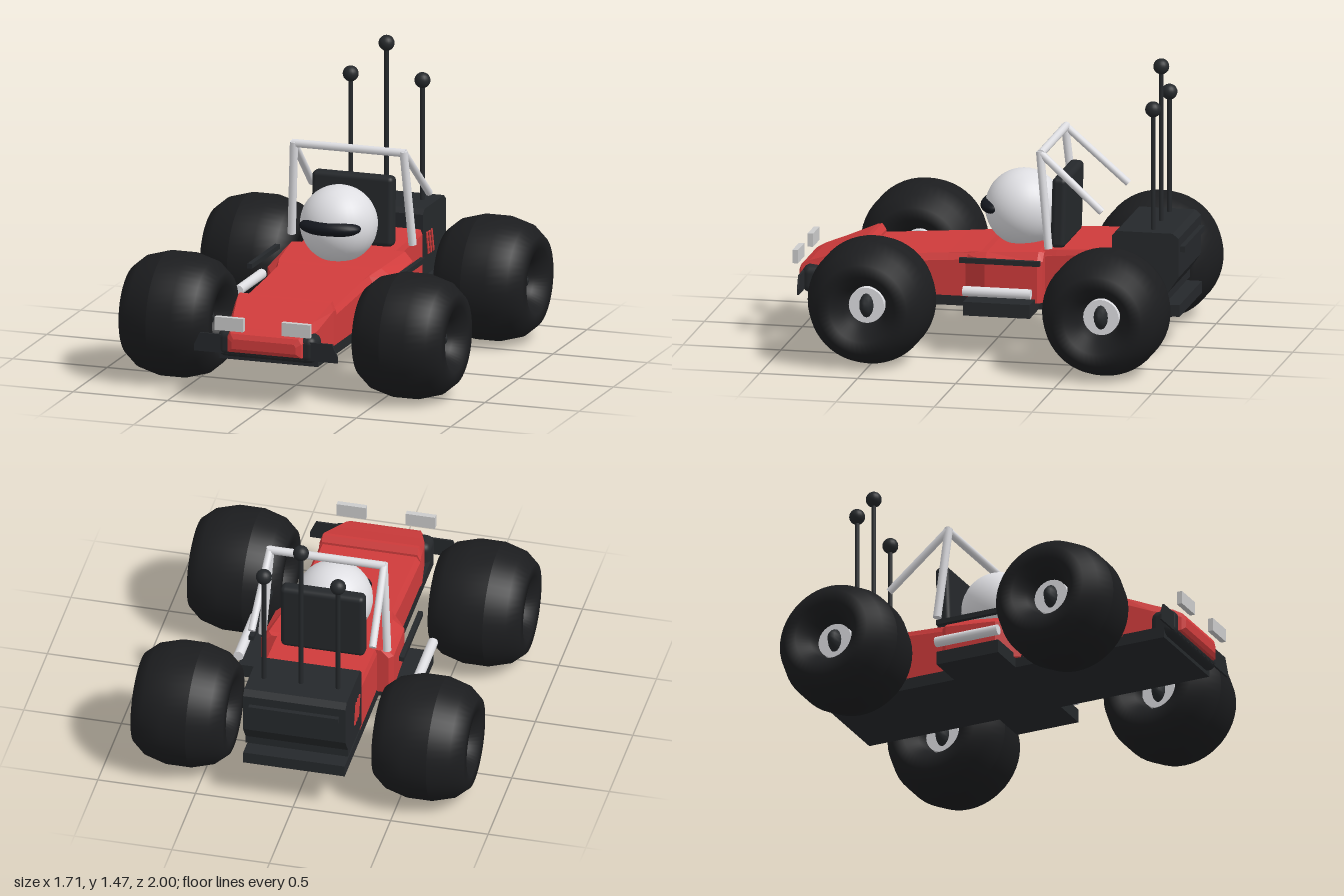
import * as THREE from 'three';
import { RoundedBoxGeometry } from 'three/addons/geometries/RoundedBoxGeometry.js';

const mat = (color, flatShading = false) =>
  new THREE.MeshStandardMaterial({ color, flatShading, side: THREE.DoubleSide });
const red = mat(0xd03c3c, true), dark = mat(0x25282b), darkFlat = mat(0x25282b, true);
const rubber = mat(0x1c1d1f), white = mat(0xdedee2), grey = mat(0xcccccc), visorMat = mat(0x14171e);

// Body sections from front to back: [z, half width, bottom, shoulder, top half width, top]
function loft(sections) {
  const pos = [], idx = [], n = 6;
  for (const [z, w, y0, ys, wt, yt] of sections)
    for (const [x, y] of [[w, y0], [w, ys], [wt, yt], [-wt, yt], [-w, ys], [-w, y0]]) pos.push(x, y, z);
  for (let i = 0; i < sections.length - 1; i++)
    for (let j = 0; j < n; j++) {
      const a = i * n + j, b = i * n + (j + 1) % n;
      idx.push(a, a + n, b, b, a + n, b + n);
    }
  const last = (sections.length - 1) * n;
  for (let j = 1; j < n - 1; j++) idx.push(0, j, j + 1, last, last + j + 1, last + j);
  const g = new THREE.BufferGeometry();
  g.setAttribute('position', new THREE.Float32BufferAttribute(pos, 3));
  g.setIndex(idx);
  g.computeVertexNormals();
  return g;
}

// Extrudes a [z, y] outline across x, centred
function sideProfile(points, width) {
  const shape = new THREE.Shape(points.map(([z, y]) => new THREE.Vector2(-z, y)));
  return new THREE.ExtrudeGeometry(shape, { depth: width, bevelEnabled: false })
    .translate(0, 0, -width / 2).rotateY(Math.PI / 2);
}

export function createModel() {
  const car = new THREE.Group();
  car.name = 'buggy';
  const add = (name, geo, material, x = 0, y = 0, z = 0, parent = car) => {
    const m = new THREE.Mesh(geo, material);
    m.name = name;
    m.position.set(x, y, z);
    parent.add(m);
    return m;
  };
  const box = (name, material, w, h, d, x, y, z) => add(name, new THREE.BoxGeometry(w, h, d), material, x, y, z);
  const rod = (name, material, a, b, r) => {
    const p = new THREE.Vector3(...a), q = new THREE.Vector3(...b), dir = q.clone().sub(p);
    const m = add(name, new THREE.CylinderGeometry(r, r, dir.length(), 12), material);
    m.position.copy(p).add(q).multiplyScalar(0.5);
    m.quaternion.setFromUnitVectors(new THREE.Vector3(0, 1, 0), dir.normalize());
  };

  // Red bodywork
  add('body', loft([
    [0.66, 0.26, 0.27, 0.42, 0.24, 0.45],
    [0.2, 0.26, 0.27, 0.45, 0.24, 0.485],
    [-0.35, 0.26, 0.27, 0.5, 0.25, 0.53],
    [-0.65, 0.26, 0.27, 0.52, 0.25, 0.545]]), red);
  add('nose', loft([
    [0.978, 0.17, 0.295, 0.33, 0.16, 0.345],
    [0.965, 0.195, 0.275, 0.345, 0.18, 0.37],
    [0.92, 0.21, 0.27, 0.36, 0.19, 0.395],
    [0.82, 0.235, 0.27, 0.39, 0.215, 0.43],
    [0.67, 0.26, 0.27, 0.45, 0.245, 0.49],
    [0.645, 0.26, 0.27, 0.45, 0.245, 0.495],
    [0.625, 0.26, 0.27, 0.43, 0.245, 0.465]]), red);
  add('sidePods', loft([
    [0.11, 0.265, 0.27, 0.44, 0.24, 0.485],
    [0.0, 0.33, 0.27, 0.46, 0.27, 0.505],
    [-0.27, 0.34, 0.27, 0.48, 0.3, 0.525],
    [-0.295, 0.32, 0.27, 0.48, 0.28, 0.52]]), red);

  // Dark floor and front bumper
  box('floor', dark, 0.52, 0.06, 1.88, 0, 0.25, -0.04);
  box('sideFloor', dark, 0.92, 0.07, 0.34, 0, 0.255, -0.09);
  add('frontBumper', new RoundedBoxGeometry(0.52, 0.14, 0.13, 3, 0.04), dark, 0, 0.31, 0.885);
  const wing = new THREE.Shape([[-0.38, 0.26], [0.38, 0.26], [0.38, 0.29], [0.35, 0.355], [-0.35, 0.355], [-0.38, 0.29]]
    .map(p => new THREE.Vector2(...p)));
  add('frontWing', new THREE.ExtrudeGeometry(wing, { depth: 0.01, bevelEnabled: false }), dark, 0, 0, 0.935);

  // Engine box with rear bar
  add('engineBox', sideProfile([[-0.635, 0.3], [-0.635, 0.62], [-0.66, 0.645], [-0.945, 0.645], [-0.975, 0.62],
    [-0.975, 0.42], [-0.92, 0.34], [-0.92, 0.3]], 0.525), darkFlat);
  box('rearBar', dark, 0.46, 0.03, 0.03, 0, 0.56, -0.985);

  // Aerials
  for (const [x, top] of [[-0.19, 1.26], [0, 1.435], [0.19, 1.26]]) {
    rod('aerial', dark, [x, 0.63, -0.83], [x, top, -0.83], 0.012);
    add('aerialBall', new THREE.SphereGeometry(0.04, 20, 14), dark, x, top, -0.83);
  }

  // Seat and driver
  const seat = add('seat', new RoundedBoxGeometry(0.43, 0.36, 0.075, 3, 0.025), dark, 0, 0.705, -0.35);
  seat.rotation.x = -0.03;
  add('helmet', new THREE.SphereGeometry(0.195, 32, 24), white, 0, 0.68, -0.13);
  add('visor', new THREE.SphereGeometry(1, 28, 16), visorMat, 0, 0.693, 0).scale.set(0.162, 0.048, 0.085);

  // Roll cage
  rod('rollBarTop', white, [-0.3, 1.03, -0.28], [0.3, 1.03, -0.28], 0.021);
  for (const s of [1, -1]) {
    rod('rollBarPost', white, [s * 0.32, 0.55, -0.325], [s * 0.29, 1.04, -0.275], 0.021);
    rod('rollBarStrut', white, [s * 0.292, 1.03, -0.28], [s * 0.31, 0.75, -0.595], 0.019);

    // Side rails, exhaust pipes, grille slats and lamps
    box('sideRail', dark, 0.025, 0.025, 0.41, s * 0.385, 0.485, -0.09);
    rod('sidePipe', white, [s * 0.457, 0.345, -0.265], [s * 0.457, 0.345, 0.08], 0.026);
    for (let i = 0; i < 3; i++) {
      const slat = box('grilleSlat', red, 0.012, 0.12, 0.016, s * 0.262, 0.46, -0.7 - i * 0.035);
      slat.rotation.x = 0.25;
    }
    box('lamp', grey, 0.15, 0.068, 0.028, s * 0.177, 0.424, 0.982);

    // Balloon wheels with recessed hubs
    for (const z of [0.51, -0.685]) {
      const wheel = new THREE.Group();
      wheel.name = z > 0 ? 'frontWheel' : 'rearWheel';
      wheel.position.set(s * 0.617, 0.318, z);
      car.add(wheel);
      const profile = [];
      for (let k = 0; k <= 12; k++) {
        const a = (15 + 30 * k) * Math.PI / 180;
        profile.push(new THREE.Vector2(0.198 + 0.12 * Math.cos(a), 0.245 * Math.sin(a)));
      }
      add('tyre', new THREE.LatheGeometry(profile, 48).rotateZ(Math.PI / 2), rubber, 0, 0, 0, wheel);
      add('hub', new THREE.CylinderGeometry(0.09, 0.09, 0.26, 28).rotateZ(Math.PI / 2), white, 0, 0, 0, wheel);
      add('hubCap', new THREE.SphereGeometry(1, 16, 12), dark, 0, 0, 0, wheel).scale.set(0.19, 0.085, 0.05);
    }
  }
  return car;
}
